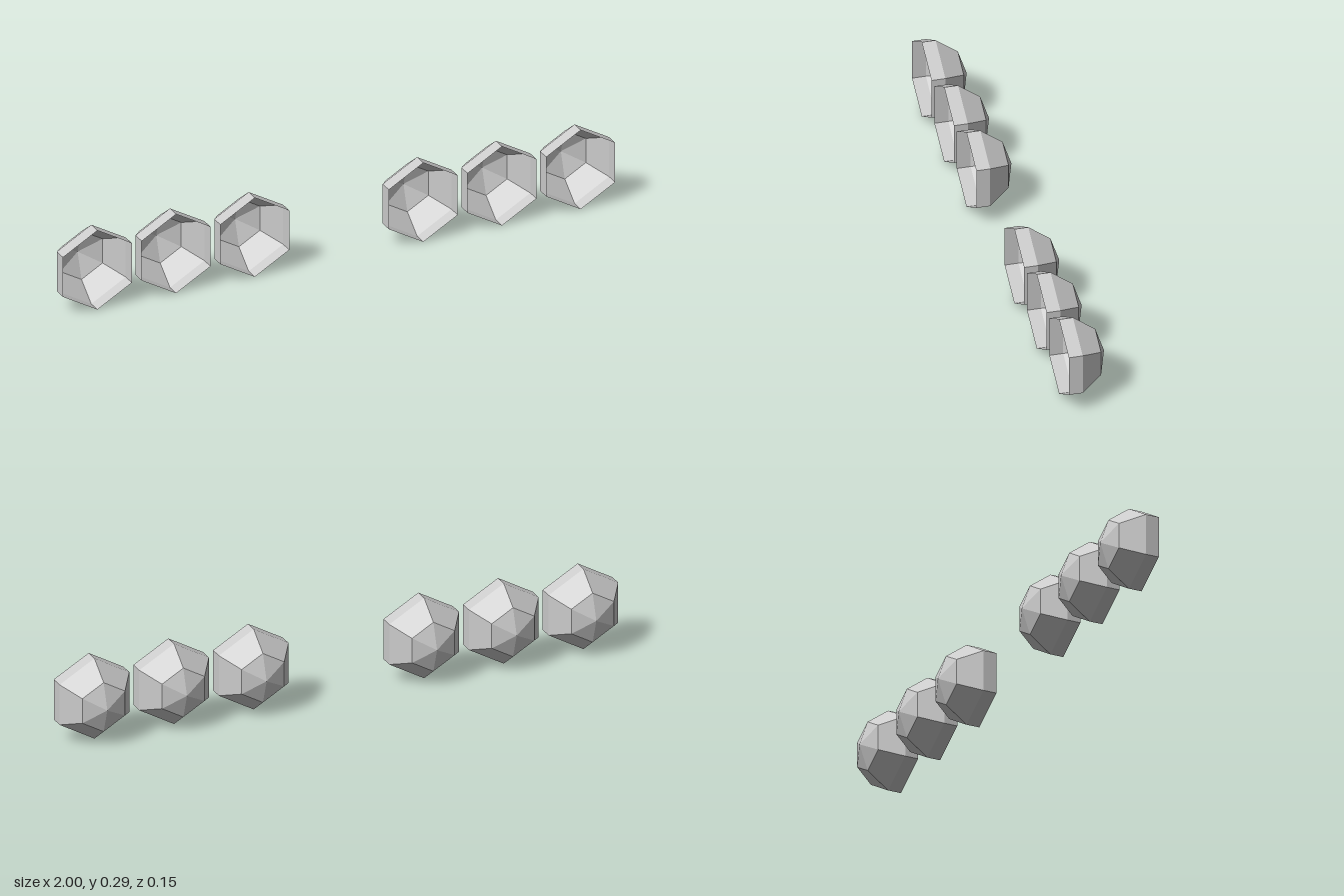
import * as THREE from 'three';

const RADIUS = 0.144;
const CENTERS = [0.305, 0.59, 0.875];

// Open hexagonal shell: pointed back, bevelled shoulder, straight rim facing +z
function shellGeometry() {
  const profile = [[0, -0.076], [0.088, -0.046], [RADIUS, 0.029], [RADIUS, 0.076]]
    .map(([r, z]) => new THREE.Vector2(r, z));
  const geometry = new THREE.LatheGeometry(profile, 6).rotateX(Math.PI / 2).toNonIndexed();
  geometry.computeVertexNormals();
  return geometry;
}

export function createModel() {
  const group = new THREE.Group();
  group.name = 'hexagonalShells';
  const geometry = shellGeometry();
  const material = new THREE.MeshStandardMaterial({
    color: 0xcccccc, flatShading: true, side: THREE.DoubleSide,
  });

  // Three shells on each side, mirrored about the middle gap
  for (const [side, sign] of [['left', 1], ['right', -1]]) {
    CENTERS.forEach((x, i) => {
      const shell = new THREE.Mesh(geometry, material);
      shell.name = `${side}Shell${i + 1}`;
      shell.position.set(sign * x, RADIUS, 0);
      group.add(shell);
    });
  }
  return group;
}
